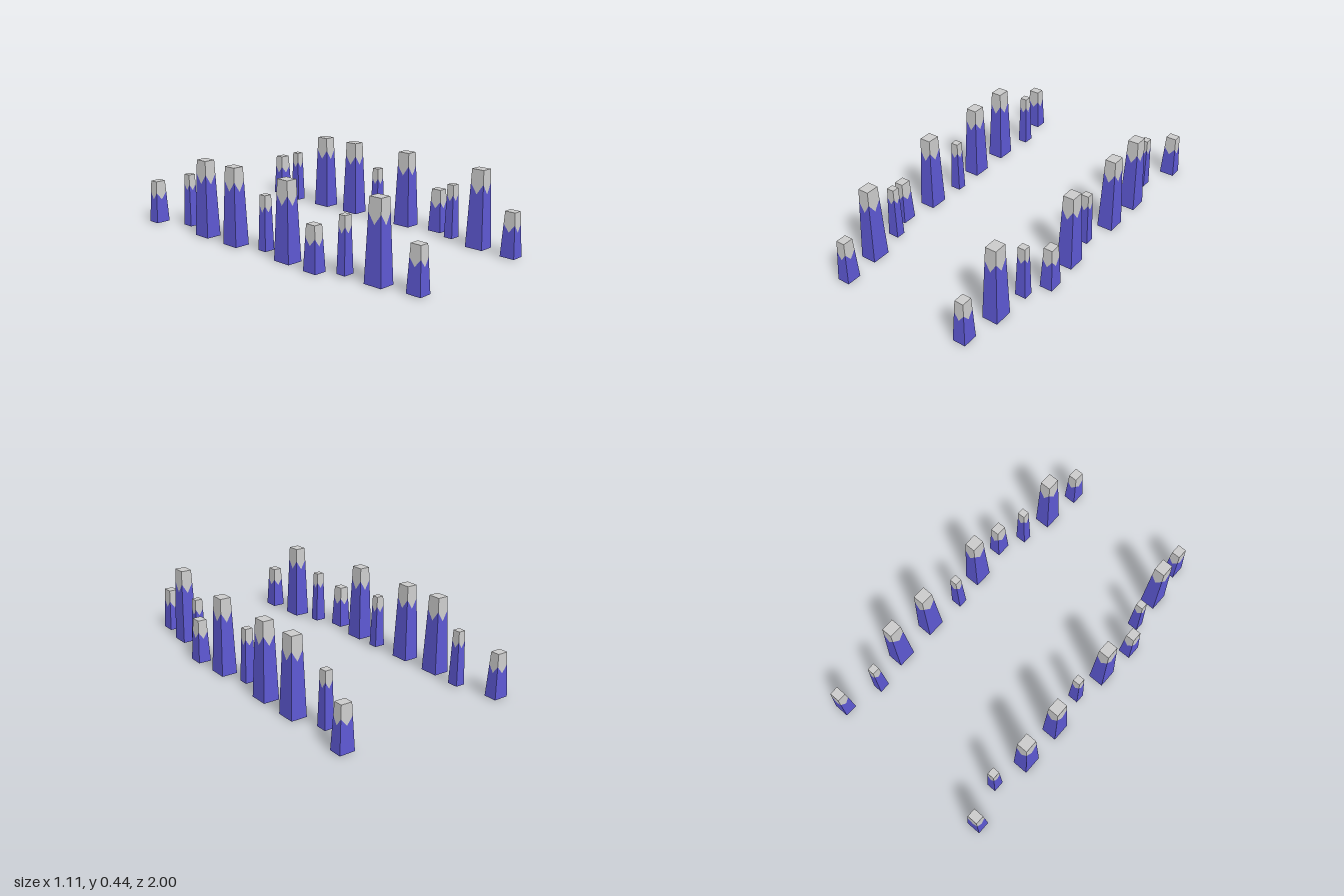
import * as THREE from 'three';

// base width/depth, top width/depth, base and top height, paint line at corners and mid-face
const TALL = { base: [0.093, 0.111], top: [0.064, 0.076], y0: 0, y1: 0.445, corner: 0.366, dip: 0.308 };
const SHORT = { base: [0.075, 0.088], top: [0.052, 0.062], y0: 0.003, y1: 0.255, corner: 0.186, dip: 0.144 };
const SLIM = { base: [0.065, 0.056], top: [0.044, 0.042], y0: 0.01, y1: 0.32, corner: 0.262, dip: 0.225 };
const turned = (s) => ({ ...s, base: [s.base[1], s.base[0]], top: [s.top[1], s.top[0]] });

// kind, x, z, name (one row, mirrored to the other side)
const ROW = [
  [SHORT, 0.391, 0.956, 'shortPillar'],
  [TALL, 0.416, 0.729, 'tallPillar'],
  [SLIM, 0.44, 0.526, 'slimPillar'],
  [SHORT, 0.509, 0.377, 'shortPillar'],
  [TALL, 0.485, 0.153, 'tallPillar'],
  [SLIM, 0.455, -0.049, 'slimPillar'],
  [TALL, 0.485, -0.271, 'tallPillar'],
  [TALL, 0.485, -0.522, 'tallPillar'],
  [turned(SLIM), 0.44, -0.738, 'slimPillar'],
  [turned(SHORT), 0.51, -0.963, 'shortPillar'],
];

// Builds a mesh from convex polygons, each fanned into triangles
function polyMesh(polygons, color, name) {
  const pos = [];
  for (const p of polygons) {
    for (let i = 1; i < p.length - 1; i++) pos.push(...p[0], ...p[i], ...p[i + 1]);
  }
  const g = new THREE.BufferGeometry();
  g.setAttribute('position', new THREE.Float32BufferAttribute(pos, 3));
  g.computeVertexNormals();
  const m = new THREE.Mesh(g, new THREE.MeshStandardMaterial({ color, flatShading: true }));
  m.name = name;
  return m;
}

// Tapered pillar: blue shaft with a zigzag upper edge and a grey cap
function pillar(s, name) {
  const at = (sx, sz, y) => {
    const t = (y - s.y0) / (s.y1 - s.y0);
    const w = THREE.MathUtils.lerp(s.base[0], s.top[0], t) / 2;
    const d = THREE.MathUtils.lerp(s.base[1], s.top[1], t) / 2;
    return [sx * w, y, sz * d];
  };
  // Counter-clockwise seen from above
  const corners = [[-1, 1], [1, 1], [1, -1], [-1, -1]];
  const shaft = [];
  const cap = [corners.map(([x, z]) => at(x, z, s.y1))];
  const foot = [corners.map(([x, z]) => at(x, z, s.y0)).reverse()];
  corners.forEach((a, i) => {
    const b = corners[(i + 1) % 4];
    const dip = at((a[0] + b[0]) / 2, (a[1] + b[1]) / 2, s.dip);
    const [a0, a1, a2] = [s.y0, s.corner, s.y1].map((y) => at(...a, y));
    const [b0, b1, b2] = [s.y0, s.corner, s.y1].map((y) => at(...b, y));
    shaft.push([dip, a1, a0, b0, b1]);
    cap.push([dip, b1, b2, a2, a1]);
  });
  const g = new THREE.Group();
  g.name = name;
  g.add(
    polyMesh(shaft, 0x5d58d2, 'shaft'),
    polyMesh(cap, 0xcccccc, 'cap'),
    polyMesh(foot, 0xcccccc, 'foot'),
  );
  return g;
}

export function createModel() {
  const model = new THREE.Group();
  model.name = 'pillarRows';
  for (const side of [1, -1]) {
    const row = new THREE.Group();
    row.name = side > 0 ? 'leftRow' : 'rightRow';
    for (const [kind, x, z, name] of ROW) {
      const p = pillar(kind, name);
      p.position.set(side * x, 0, z);
      row.add(p);
    }
    model.add(row);
  }
  return model;
}
